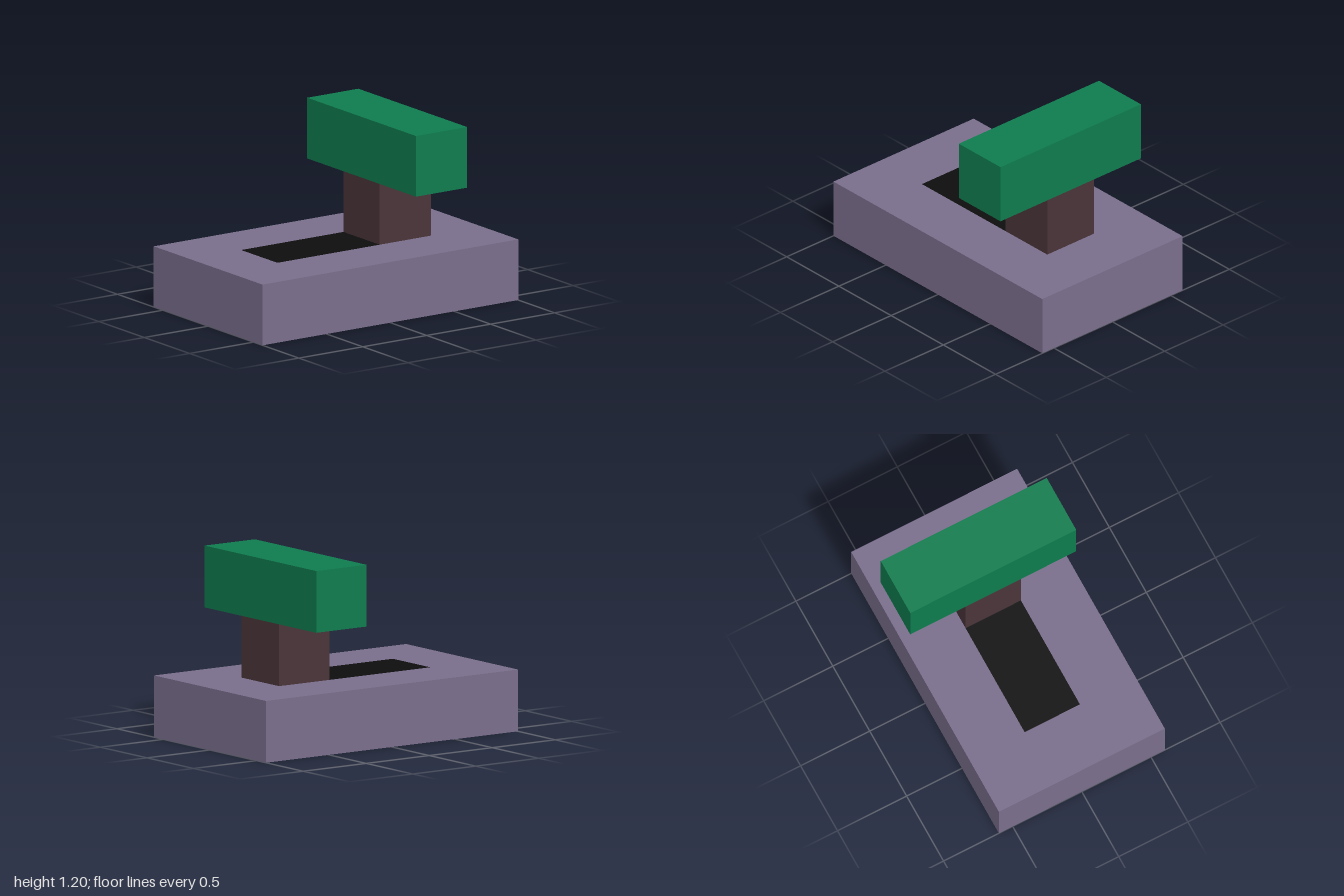
import * as THREE from 'three';

const flat = (name, color) => {
  const m = new THREE.MeshStandardMaterial({ color });
  m.name = name;
  return m;
};

// Rectangle outline centred on the origin
const rect = (Type, w, h) => new Type([
  new THREE.Vector2(-w / 2, -h / 2), new THREE.Vector2(w / 2, -h / 2),
  new THREE.Vector2(w / 2, h / 2), new THREE.Vector2(-w / 2, h / 2),
]);

export function createModel() {
  const group = new THREE.Group();
  group.name = 'blockModel';

  const add = (name, geometry, material, x, y, z) => {
    const mesh = new THREE.Mesh(geometry, material);
    mesh.name = name;
    mesh.position.set(x, y, z);
    group.add(mesh);
  };

  // Base slab with a rectangular slot through it
  const outline = rect(THREE.Shape, 2, 1.2);
  outline.holes.push(rect(THREE.Path, 1.2, 0.4));
  const slab = new THREE.ExtrudeGeometry(outline, { depth: 0.4, bevelEnabled: false });
  slab.rotateX(-Math.PI / 2);
  add('base', slab, flat('dusty purple', 0x7a6e8c), 0, 0, 0);

  // Dark core filling the slot, flush with top and bottom
  add('core', new THREE.BoxGeometry(1.2, 0.4, 0.4), flat('black', 0x0d0d0d), 0, 0.2, 0);

  // Post and the crossbar it carries
  add('post', new THREE.BoxGeometry(0.4, 0.4, 0.4), flat('dark brown', 0x4a3439), 0.4, 0.6, 0);
  add('crossbar', new THREE.BoxGeometry(0.4, 0.4, 1.2), flat('green', 0x0e7c4e), 0.4, 1, 0);

  return group;
}
